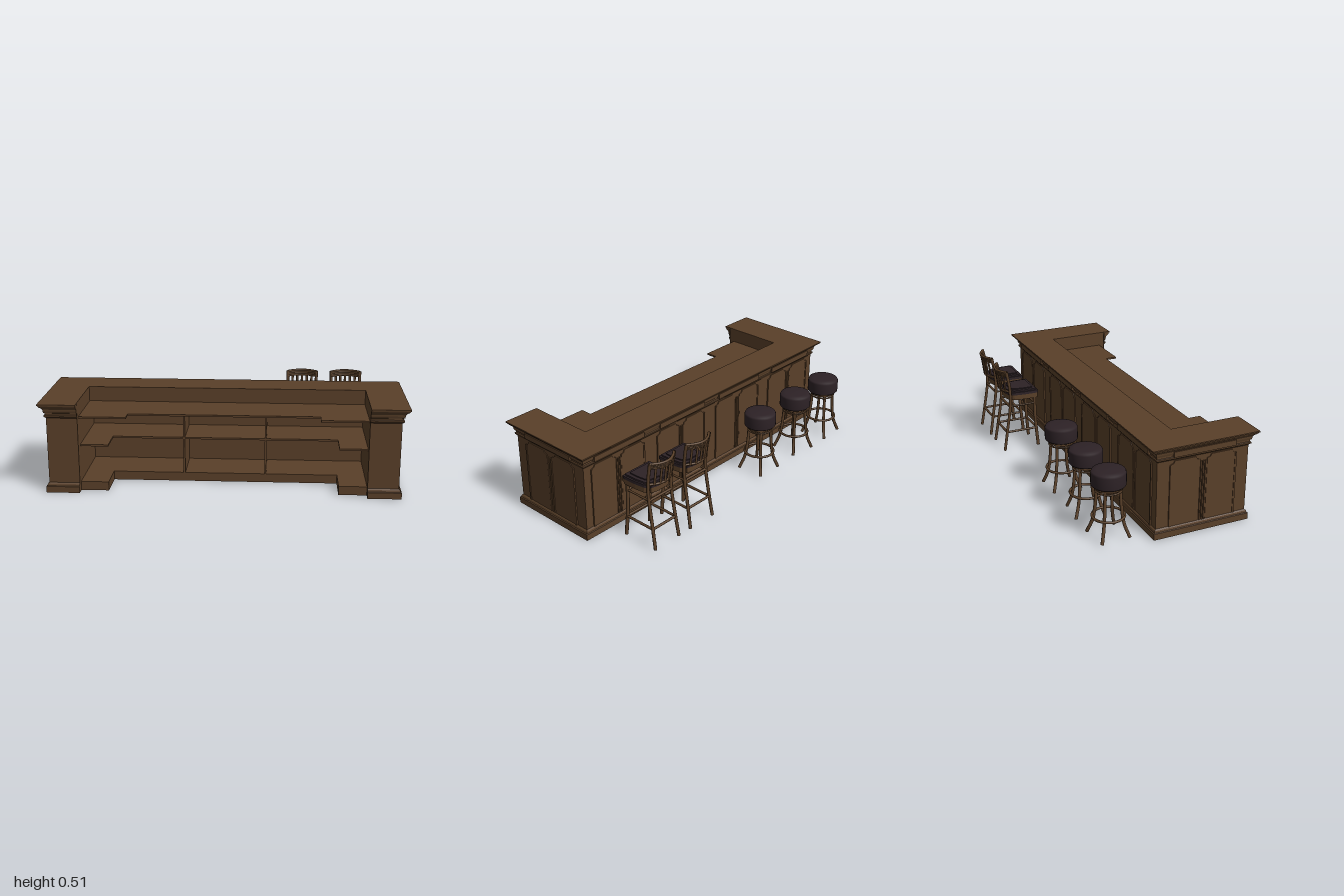
import * as THREE from 'three';

const wood = new THREE.MeshStandardMaterial({ color: 0x5a4029, side: THREE.DoubleSide });
wood.name = 'dark wood';
const leather = new THREE.MeshStandardMaterial({ color: 0x2d2226 });
leather.name = 'black leather';
const V = (x, y, z) => new THREE.Vector3(x, y, z);

function add(parent, name, geometry, material = wood) {
  const mesh = new THREE.Mesh(geometry, material);
  mesh.name = name;
  parent.add(mesh);
  return mesh;
}

// Box given by its limits on each axis
function box(parent, name, x0, x1, y0, y1, z0, z1, material = wood) {
  const mesh = add(parent, name, new THREE.BoxGeometry(x1 - x0, y1 - y0, z1 - z0), material);
  mesh.position.set((x0 + x1) / 2, (y0 + y1) / 2, (z0 + z1) / 2);
  return mesh;
}

// Slab from a floor plan; the given half is mirrored across x = 0
function slab(parent, name, half, y0, y1, material = wood) {
  const pts = [...half, ...half.map(([x, z]) => [-x, z]).reverse()];
  const shape = new THREE.Shape(pts.map(([x, z]) => new THREE.Vector2(x, -z)));
  const geo = new THREE.ExtrudeGeometry(shape, { depth: y1 - y0, bevelEnabled: false });
  geo.rotateX(-Math.PI / 2).translate(0, y0, 0);
  return add(parent, name, geo, material);
}

function tube(parent, name, points, r, closed = false) {
  const curve = new THREE.CatmullRomCurve3(points, closed);
  return add(parent, name, new THREE.TubeGeometry(curve, closed ? 32 : 12, r, 8, closed));
}

function bar(parent, name, a, b, r) {
  const mesh = add(parent, name, new THREE.CylinderGeometry(r, r, a.distanceTo(b), 8));
  mesh.position.copy(a).add(b).multiplyScalar(0.5);
  mesh.quaternion.setFromUnitVectors(V(0, 1, 0), b.clone().sub(a).normalize());
  return mesh;
}

// Outward offset and height of the plinth, wall and cornice
const PROFILE = [[0.015, 0], [0.015, 0.035], [0.010, 0.038], [0.007, 0.048], [0, 0.055],
  [0, 0.425], [0.004, 0.43], [0.010, 0.434], [0.010, 0.442], [0.005, 0.445], [0.005, 0.454],
  [0.010, 0.457], [0.013, 0.467], [0.014, 0.476], [0.021, 0.485], [0.028, 0.49], [0.034, 0.497], [0.036, 0.504]];
const BX = 0.96, ZB = -0.11, ZF = 0.415, IN = 0.79;

// Sweep the profile round the outside with mitred corners
function shellGeometry() {
  const path = [[-IN, ZF, 0, 1], [-BX, ZF, -1, 1], [-BX, ZB, -1, -1],
    [BX, ZB, 1, -1], [BX, ZF, 1, 1], [IN, ZF, 0, 1]];
  const at = (i, j) => {
    const [x, z, dx, dz] = path[i], [o, y] = PROFILE[j];
    return [x + dx * o, y, z + dz * o];
  };
  const pos = [];
  for (let i = 0; i < path.length - 1; i++) {
    for (let j = 0; j < PROFILE.length - 1; j++) {
      const a = at(i, j), b = at(i + 1, j), c = at(i + 1, j + 1), d = at(i, j + 1);
      pos.push(...a, ...c, ...b, ...a, ...d, ...c);
    }
  }
  const geo = new THREE.BufferGeometry();
  geo.setAttribute('position', new THREE.Float32BufferAttribute(pos, 3));
  geo.computeVertexNormals();
  return geo;
}

// Pair of notched panels with reeds between them and a frieze plate above
function panelSet(parent, x, z, turn) {
  const g = new THREE.Group();
  g.name = 'wallPanels';
  for (const s of [-1, 1]) {
    const w = 0.085;
    const outline = [[-w, 0.055], [w, 0.055], [w, 0.4], [w - 0.018, 0.406], [w - 0.024, 0.42],
      [-w + 0.024, 0.42], [-w + 0.018, 0.406], [-w, 0.4]];
    const shape = new THREE.Shape(outline.map(p => new THREE.Vector2(...p)));
    add(g, 'panel', new THREE.ExtrudeGeometry(shape, { depth: 0.005, bevelEnabled: false })).position.x = s * 0.105;
    box(g, 'panelEdge', s * 0.187 - 0.005, s * 0.187 + 0.005, 0.055, 0.4, 0, 0.008);
  }
  for (const u of [-0.013, 0, 0.013]) box(g, 'reed', u - 0.004, u + 0.004, 0.055, 0.39, 0, 0.007);
  box(g, 'friezePlate', -0.178, 0.178, 0.445, 0.475, 0, 0.019);
  g.position.set(x, 0, z);
  g.rotation.y = turn;
  parent.add(g);
}

function makeBar() {
  const g = new THREE.Group();
  g.name = 'barCounter';
  add(g, 'outerWall', shellGeometry());
  slab(g, 'barTop', [[IN, 0.055], [IN, 0.455], [1, 0.455], [1, -0.155]], 0.503, 0.51);
  slab(g, 'base', [[0.635, 0.2], [0.635, 0.38], [IN, 0.38], [IN, 0.43], [0.974, 0.43], [0.974, -0.124]], 0, 0.034);
  slab(g, 'floorBoard', [[0.635, 0.2], [0.635, 0.38], [IN, 0.38], [IN, -0.1]], 0.034, 0.05);
  slab(g, 'workTop', [[0.53, 0.31], [0.53, 0.38], [IN, 0.38], [IN, 0]], 0.415, 0.425);
  slab(g, 'shelf', [[0.635, 0.2], [0.635, 0.36], [IN, 0.36], [IN, -0.08]], 0.25, 0.26);
  box(g, 'upperBackWall', -IN, IN, 0.42, 0.503, -0.105, 0.05);
  box(g, 'backWall', -IN, IN, 0.04, 0.42, -0.105, -0.05);
  for (const s of [-1, 1]) {
    const arm = [s * IN, s * (BX - 0.003)].sort((a, b) => a - b);
    box(g, 'armCore', arm[0], arm[1], 0.01, 0.503, ZB + 0.003, ZF - 0.003);
    box(g, 'divider', s * 0.23 - 0.005, s * 0.23 + 0.005, 0.05, 0.415, -0.06, 0.205);
    // Closes the cut end of the moulding
    const cap = new THREE.Shape([[0, 0], ...PROFILE, [0, 0.504]].map(p => new THREE.Vector2(...p)));
    add(g, 'mouldingEnd', new THREE.ShapeGeometry(cap).rotateY(-Math.PI / 2)).position.set(s * IN, 0, ZF);
    panelSet(g, s * BX, 0.1525, s * Math.PI / 2);
  }
  for (const x of [-0.72, -0.24, 0.24, 0.72]) panelSet(g, x, ZB, Math.PI);
  return g;
}

function makeStool(x, z, turn) {
  const g = new THREE.Group();
  g.name = 'roundStool';
  const cushion = [[0, 0.29], [0.086, 0.29], [0.091, 0.296], [0.091, 0.36], [0.086, 0.37], [0.06, 0.376], [0, 0.379]];
  add(g, 'cushion', new THREE.LatheGeometry(cushion.map(p => new THREE.Vector2(...p)), 32), leather);
  add(g, 'seatRing', new THREE.CylinderGeometry(0.074, 0.074, 0.016, 28)).position.y = 0.282;
  add(g, 'upperRing', new THREE.TorusGeometry(0.068, 0.005, 8, 28).rotateX(Math.PI / 2)).position.y = 0.262;
  add(g, 'footRing', new THREE.TorusGeometry(0.084, 0.007, 8, 32).rotateX(Math.PI / 2)).position.y = 0.117;
  for (let i = 0; i < 4; i++) {
    const a = Math.PI / 4 + i * Math.PI / 2, c = Math.cos(a), s = Math.sin(a);
    const path = [[0.062, 0.28], [0.068, 0.18], [0.083, 0.08], [0.114, 0.005]];
    tube(g, 'leg', path.map(([r, y]) => V(r * c, y, r * s)), 0.009);
  }
  g.position.set(x, 0, z);
  g.rotation.y = turn;
  return g;
}

// Chair facing +z, origin at the middle of the seat
function makeChair(x, z) {
  const g = new THREE.Group();
  g.name = 'barChair';
  const seat = k => [[0.094, 0.087], [0.098, 0.075], [0.096, 0], [0.088, -0.06], [0.068, -0.09], [0.03, -0.1]]
    .map(([a, b]) => [a * k, b * k]);
  slab(g, 'seatFrame', seat(0.97), 0.318, 0.35);
  slab(g, 'cushion', seat(1), 0.349, 0.366, leather);
  slab(g, 'cushionCrown', seat(0.9), 0.366, 0.375, leather);
  slab(g, 'cushionCrownTop', seat(0.7), 0.375, 0.381, leather);
  // Back rails follow an arc
  const arc = (u, y, dz) => V(u * 0.088, y, dz - 0.04 * (1 - u * u));
  const us = [-1, -0.6, -0.2, 0.2, 0.6, 1];
  for (const y of [0.475, 0.484, 0.493, 0.502]) {
    tube(g, 'topRail', us.map(u => arc(u, y, -0.096 - (y - 0.475) * 0.25)), 0.007);
  }
  tube(g, 'lowerRail', us.map(u => arc(u, 0.375, -0.082)), 0.007);
  for (const u of [-0.66, -0.33, 0, 0.33, 0.66]) {
    const slat = bar(g, 'backSlat', arc(u, 0.37, -0.082), arc(u, 0.48, -0.097), 0.006);
    slat.scale.x = 1.2;
  }
  for (const s of [-1, 1]) {
    tube(g, 'backPost', [V(s * 0.088, 0.003, -0.132), V(s * 0.084, 0.12, -0.112), V(s * 0.082, 0.3, -0.085),
      V(s * 0.085, 0.4, -0.088), V(s * 0.088, 0.505, -0.106)], 0.009);
    tube(g, 'frontLeg', [V(s * 0.08, 0.33, 0.068), V(s * 0.081, 0.15, 0.073), V(s * 0.086, 0.003, 0.084)], 0.01);
    bar(g, 'sideStretcher', V(s * 0.084, 0.118, 0.08), V(s * 0.084, 0.118, -0.118), 0.007);
    bar(g, 'upperSideStretcher', V(s * 0.081, 0.28, 0.07), V(s * 0.081, 0.28, -0.09), 0.006);
  }
  for (const [y, zf, zb] of [[0.118, 0.077, -0.112], [0.28, 0.07, -0.088]]) {
    bar(g, 'frontStretcher', V(-0.082, y, zf), V(0.082, y, zf), 0.007);
    bar(g, 'backStretcher', V(-0.082, y, zb), V(0.082, y, zb), 0.007);
  }
  g.position.set(x, 0, z);
  return g;
}

export function createModel() {
  const model = new THREE.Group();
  model.name = 'barWithSeating';
  model.add(makeBar());
  model.add(makeStool(-0.826, -0.31, 0.08), makeStool(-0.545, -0.31, -0.1), makeStool(-0.214, -0.31, 0));
  model.add(makeChair(0.441, -0.315), makeChair(0.706, -0.315));
  return model;
}
